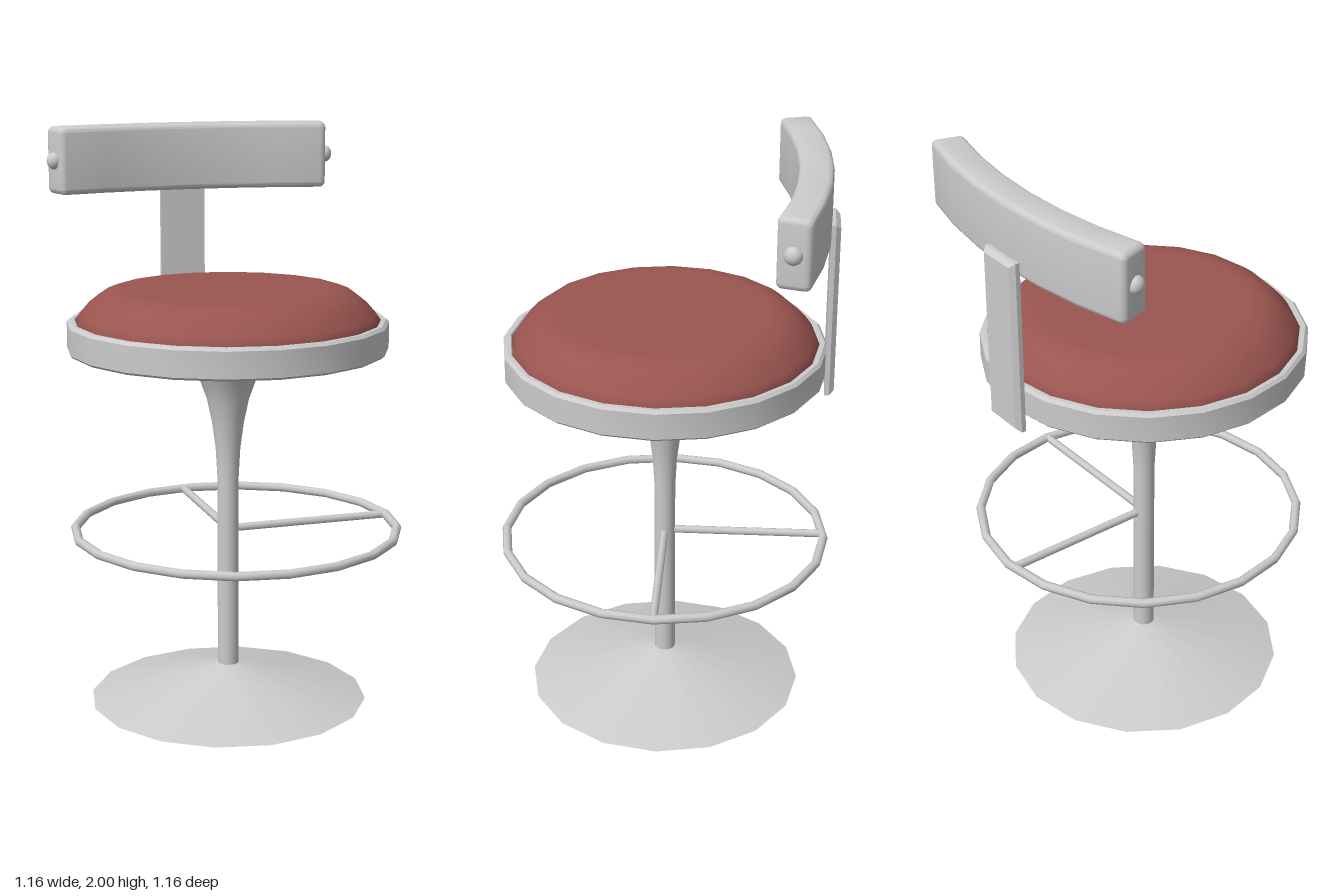
import * as THREE from 'three';
import { toCreasedNormals } from 'three/addons/utils/BufferGeometryUtils.js';

const CX = -0.03; // axis of the pole and seat

export function createModel() {
  const stool = new THREE.Group();
  stool.name = 'barStool';
  const metal = new THREE.MeshStandardMaterial({ color: 0xcccccc });
  const metalSheet = new THREE.MeshStandardMaterial({ color: 0xcccccc, side: THREE.DoubleSide });
  const flatMetal = new THREE.MeshStandardMaterial({ color: 0xcccccc, flatShading: true });
  const fabric = new THREE.MeshStandardMaterial({ color: 0x9a5550 });

  const add = (name, geometry, material, x = CX, y = 0, z = 0, parent = stool) => {
    const mesh = new THREE.Mesh(geometry, material);
    mesh.name = name;
    mesh.position.set(x, y, z);
    parent.add(mesh);
    return mesh;
  };
  const lathe = (points, sides) =>
    new THREE.LatheGeometry(points.map(([r, y]) => new THREE.Vector2(r, y)), sides);

  // Hollow conical foot
  add('base', lathe([[0.49, 0], [0.037, 0.123]], 16), metalSheet);

  // Pole flaring out under the seat
  add('pole', lathe([
    [0.037, 0.12], [0.037, 0.8], [0.043, 0.91], [0.055, 1.0], [0.073, 1.085],
    [0.1, 1.16], [0.135, 1.22], [0.175, 1.263],
  ], 20), metalSheet);

  // Seat pan with raised rim
  add('seatRim', toCreasedNormals(lathe([
    [0, 1.26], [0.545, 1.26], [0.553, 1.268], [0.553, 1.357], [0.543, 1.367],
    [0.528, 1.367], [0.52, 1.357], [0.52, 1.31],
  ], 20), 0.6), metalSheet);

  // Domed cushion
  add('cushion', lathe([
    [0.525, 1.3], [0.525, 1.362], [0.507, 1.388], [0.475, 1.425], [0.44, 1.453],
    [0.4, 1.469], [0.36, 1.474], [0, 1.475],
  ], 20), fabric);

  // Foot ring with two spokes, to the left and to the back
  const footrest = new THREE.Group();
  footrest.name = 'footrest';
  stool.add(footrest);
  const ring = new THREE.TorusGeometry(0.566, 0.016, 8, 20).rotateX(Math.PI / 2);
  add('footRing', ring, metal, 0, 0.62, 0, footrest);
  const spoke = (name, x, z) => {
    const from = new THREE.Vector3(CX, 0.62, 0);
    const to = new THREE.Vector3(x, 0.62, z);
    const path = new THREE.LineCurve3(from, to);
    add(name, new THREE.TubeGeometry(path, 1, 0.014, 8), metal, 0, 0, 0, footrest);
  };
  spoke('leftSpoke', 0.566, 0);
  spoke('backSpoke', CX, -0.566);

  // Plate holding the backrest, its rear face chamfered
  const plate = new THREE.BoxGeometry(0.165, 0.61, 0.032, 1, 1, 2);
  const pp = plate.attributes.position;
  for (let i = 0; i < pp.count; i++) {
    if (pp.getZ(i) < -0.01) {
      pp.setX(i, pp.getX(i) - Math.sign(pp.getX(i)) * 0.015);
      pp.setY(i, pp.getY(i) - Math.sign(pp.getY(i)) * 0.015);
    }
  }
  add('backPlate', plate, flatMetal, CX, 1.515, -0.561);

  // Backrest: rounded bar bent along an arc around a point in front
  const R = 1.8, length = 1.02, bevel = 0.02;
  const bend = (s, depth) => {
    const a = s / R;
    return [(R - depth) * Math.sin(a), -0.4925 + R - (R - depth) * Math.cos(a)];
  };
  const h = 0.1175 - bevel, d = 0.057 - bevel;
  const section = new THREE.Shape([[-d, -h], [d, -h], [d, h], [-d, h]]
    .map(([x, y]) => new THREE.Vector2(x, y)));
  const rounded = new THREE.Shape();
  section.getPoints().slice(0, 4).forEach((p, i) => {
    rounded.absarc(p.x, p.y, 0.02, Math.PI + i * Math.PI / 2, Math.PI * 1.5 + i * Math.PI / 2, false);
  });
  rounded.closePath();
  const bar = new THREE.ExtrudeGeometry(rounded, {
    depth: length - 2 * bevel, steps: 6, curveSegments: 3,
    bevelEnabled: true, bevelThickness: bevel, bevelSize: bevel, bevelOffset: -bevel, bevelSegments: 3,
  }).translate(0, 0, -(length / 2 - bevel)).rotateY(Math.PI / 2);
  const bp = bar.attributes.position;
  for (let i = 0; i < bp.count; i++) {
    const [x, z] = bend(bp.getX(i), bp.getZ(i));
    bp.setX(i, x);
    bp.setZ(i, z);
  }
  add('backrest', toCreasedNormals(bar, 0.7), metal, CX, 1.8825);

  // Round knobs on both ends of the backrest
  for (const side of [-1, 1]) {
    const [x, z] = bend(side * length / 2, 0);
    const knob = add(side > 0 ? 'leftKnob' : 'rightKnob',
      new THREE.SphereGeometry(0.03, 16, 12), metal, CX + x, 1.8825, z);
    knob.scale.x = 0.85;
    knob.rotation.y = -side * length / 2 / R;
  }

  return stool;
}
